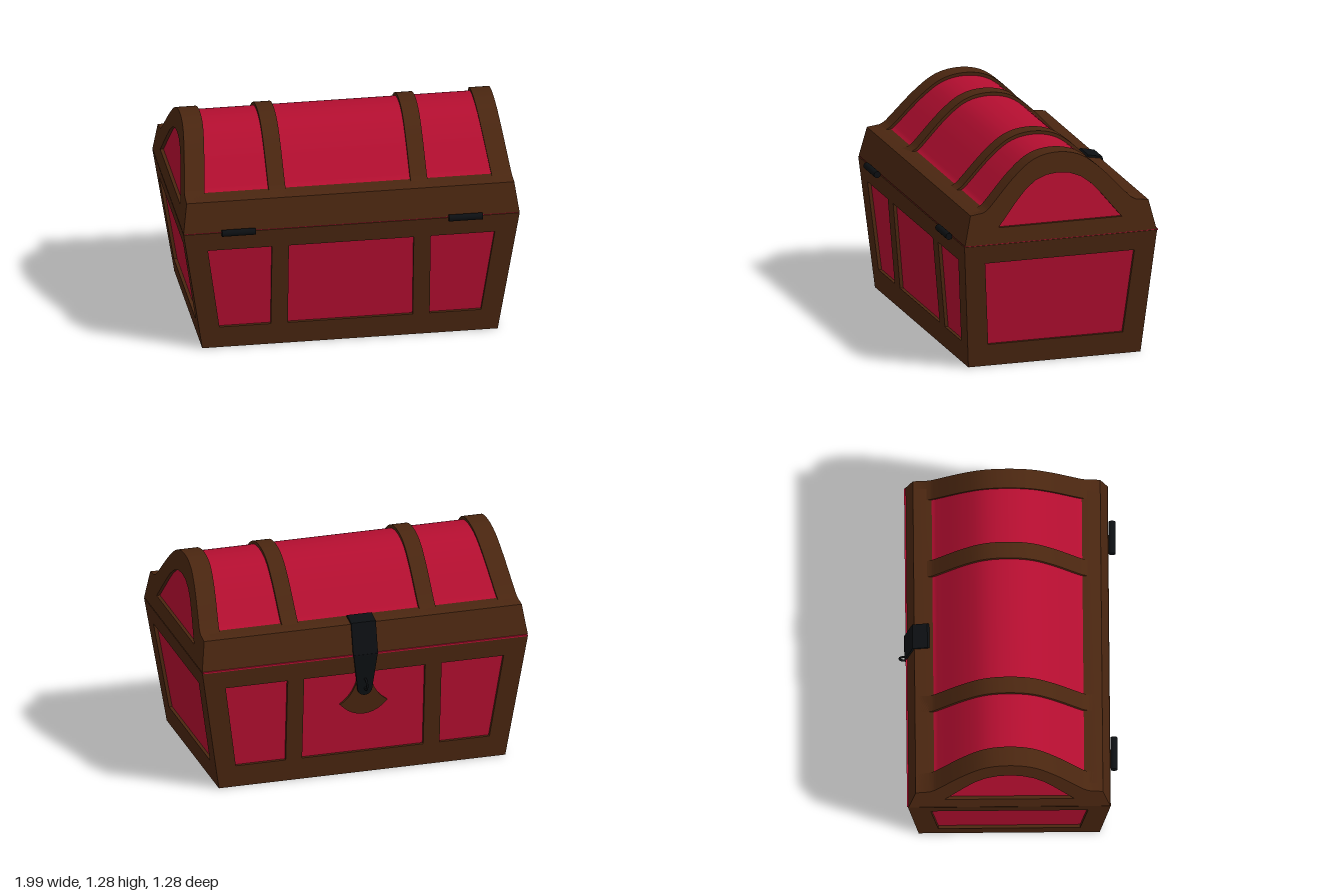
import * as THREE from 'three';
import { toCreasedNormals } from 'three/addons/utils/BufferGeometryUtils.js';

const brown = new THREE.MeshStandardMaterial({ color: 0x4a2610 });
brown.name = 'brown wood';
const red = new THREE.MeshStandardMaterial({ color: 0xb40e30 });
red.name = 'red panel';
const black = new THREE.MeshStandardMaterial({ color: 0x0c0f12 });
black.name = 'black iron';

const T = 0.02;                                  // depth of the panel recesses
const SEAM = 0.77;
const bodyX = y => 0.875 + 0.156 * y;            // half sizes of the flared body
const bodyZ = y => 0.53 + 0.082 * y;
const lidX = y => 0.995 - 0.139 * (y - 0.775);   // half length of the tapering lid

const poly = pts => new THREE.Shape(pts.map(p => new THREE.Vector2(...p)));
const mirrorX = pts => pts.map(([x, y]) => [-x, y]).reverse();
const rect = (x0, x1, y0, y1) => [[x0, y0], [x1, y0], [x1, y1], [x0, y1]];

// Extrude a shape, then place each vertex (a, b, t in 0..1) by a rule.
function slab(name, shape, material, rule) {
  let geo = new THREE.ExtrudeGeometry(shape, { depth: 1, bevelEnabled: false, curveSegments: 8 });
  const p = geo.attributes.position;
  for (let i = 0; i < p.count; i++) p.setXYZ(i, ...rule(p.getX(i), p.getY(i), p.getZ(i)));
  geo = toCreasedNormals(geo, 0.45);
  const mesh = new THREE.Mesh(geo, material);
  mesh.name = name;
  return mesh;
}

function withHoles(shape, holes) {
  shape.holes = holes.map(h => new THREE.Path(h.map(p => new THREE.Vector2(...p))));
  return shape;
}

// Lid cross-section; z across, y up
const ARCH = [[0.44, 0.98], [0.41, 1.01], [0.266, 1.16], [0.14, 1.252]];
function lidShape(map = p => p) {
  const s = new THREE.Shape();
  s.moveTo(...map([-0.59, 0.775]));
  s.lineTo(...map([0.59, 0.775]));
  s.lineTo(...map([0.548, 0.952]));
  s.lineTo(...map([0.47, 0.962]));
  s.splineThru([...ARCH, [0, 1.28], ...mirrorX(ARCH), [-0.47, 0.962]]
    .map(p => new THREE.Vector2(...map(p))));
  s.lineTo(...map([-0.548, 0.952]));
  return s;
}

function createBody() {
  const body = new THREE.Group();
  body.name = 'body';

  // Red core behind the frames
  body.add(slab('bodyPanels', poly(rect(-1, 1, T, SEAM)), red,
    (a, y, t) => [a * (bodyX(y) - T), y, (2 * t - 1) * (bodyZ(y) - T)]));

  // Long frames with three openings, front and back
  const outer = [[0.47, 0.135], [0.775, 0.135], [0.85, 0.655], [0.47, 0.655]];
  const longHoles = [outer, mirrorX(outer), rect(-0.37, 0.37, 0.135, 0.655)];
  const end = [[-1, 0], [1, 0], [1, SEAM], [-1, SEAM]];
  for (const side of [0, 1]) {
    const long = slab(side ? 'backFrame' : 'frontFrame',
      withHoles(poly(end.map(([s, y]) => [s * bodyX(y), y])), longHoles), brown,
      (x, y, t) => [x, y, bodyZ(y) - T * (1 - t)]);
    const short = slab(side ? 'rightFrame' : 'leftFrame',
      withHoles(poly(end.map(([s, y]) => [s * bodyZ(y), y])),
        [[[-0.415, 0.135], [0.415, 0.135], [0.46, 0.655], [-0.46, 0.655]]]), brown,
      (a, y, t) => [bodyX(y) - T * (1 - t), y, -a]);
    long.rotation.y = short.rotation.y = side * Math.PI;
    body.add(long, short);
  }

  // Underside frame
  body.add(slab('bottomFrame', withHoles(poly(rect(-0.875, 0.875, -0.53, 0.53)), [
    rect(-0.77, -0.47, -0.42, 0.42), rect(-0.37, 0.37, -0.42, 0.42), rect(0.47, 0.77, -0.42, 0.42),
  ]), brown, (x, z, t) => [x, T * (1 - t), z]));

  // Lining that peeks out at the seam
  const lining = new THREE.Mesh(new THREE.BoxGeometry(1.98, 0.009, 1.186), red);
  lining.name = 'seamLining';
  lining.position.set(0, 0.7715, -0.006);
  body.add(lining);
  return body;
}

function createLid() {
  const lid = new THREE.Group();
  lid.name = 'lid';

  // Red vault under the bands
  const shrink = ([z, y]) => [z * 0.965, 0.76 + (y - 0.76) * 0.9615];
  lid.add(slab('lidPanels', lidShape(shrink), red,
    (a, y, t) => [(2 * t - 1) * (lidX(y) - T), y, -a]));

  // Solid brim
  lid.add(slab('lidBrim',
    poly([[-0.59, 0.775], [0.59, 0.775], [0.548, 0.952], [0.47, 0.962], [-0.47, 0.962], [-0.548, 0.952]]),
    brown, (a, y, t) => [(2 * t - 1) * (lidX(y) - 0.05), y, -a]));

  // End arches with an opening, and the two inner bands
  const half = [[0.38, 0.868], [0.26, 1.015], [0.2, 1.08], [0.14, 1.125], [0.07, 1.152]];
  const window = [...half, [0, 1.16], ...mirrorX(half)];
  for (const side of [0, 1]) {
    const arch = slab(side ? 'rightEndArch' : 'leftEndArch', withHoles(lidShape(), [window]), brown,
      (a, y, t) => [lidX(y) - 0.119 * (1 - t), y, -a]);
    const band = slab(side ? 'rightBand' : 'leftBand', lidShape(), brown,
      (a, y, t) => [0.37 + 0.1 * t, y, -a]);
    arch.rotation.y = band.rotation.y = side * Math.PI;
    lid.add(arch, band);
  }
  return lid;
}

function createLatch() {
  const latch = new THREE.Group();
  latch.name = 'latch';

  // Bent strap over the brim
  latch.add(slab('upperStrap', poly([
    [0.46, 0.968], [0.55, 0.952], [0.595, 0.768], [0.607, 0.768], [0.559, 0.962], [0.472, 0.98],
  ]), black, (a, y, t) => [0.15 * (t - 0.5), y, -a]));

  // Tapered hasp with a rounded tip
  const hasp = new THREE.Shape();
  hasp.moveTo(0.073, 0.775);
  hasp.lineTo(-0.073, 0.775);
  hasp.lineTo(-0.045, 0.555);
  hasp.absarc(0, 0.555, 0.045, Math.PI, 2 * Math.PI, false);
  const lower = slab('hasp', hasp, black,
    (x, y, t) => [x, y, 0.595 - (0.775 - y) * 0.08 + 0.012 * t]);

  // Fan-shaped wooden backing plate
  const fan = new THREE.Shape();
  fan.moveTo(0.04, 0.62);
  fan.lineTo(-0.04, 0.62);
  fan.quadraticCurveTo(-0.06, 0.51, -0.145, 0.455);
  fan.quadraticCurveTo(-0.08, 0.38, 0, 0.38);
  fan.quadraticCurveTo(0.08, 0.38, 0.145, 0.455);
  fan.quadraticCurveTo(0.06, 0.51, 0.04, 0.62);
  const plate = slab('fanPlate', fan, brown, (x, y, t) => [x, y, bodyZ(y) - T - 0.004 + 0.02 * t]);
  lower.rotation.y = plate.rotation.y = Math.PI;
  latch.add(lower, plate);

  // Staple ring
  const ring = new THREE.Mesh(new THREE.TorusGeometry(0.032, 0.007, 8, 20), black);
  ring.name = 'staple';
  ring.position.set(0, 0.584, -0.602);
  ring.rotation.y = Math.PI / 2;
  latch.add(ring);
  return latch;
}

export function createModel() {
  const chest = new THREE.Group();
  chest.name = 'chest';
  chest.add(createBody(), createLid(), createLatch());

  // Hinge barrels
  for (const s of [-1, 1]) {
    const hinge = new THREE.Mesh(new THREE.CylinderGeometry(0.02, 0.02, 0.2, 16), black);
    hinge.name = s > 0 ? 'leftHinge' : 'rightHinge';
    hinge.rotation.z = Math.PI / 2;
    hinge.position.set(s * 0.672, 0.777, 0.615);
    chest.add(hinge);
  }
  return chest;
}
